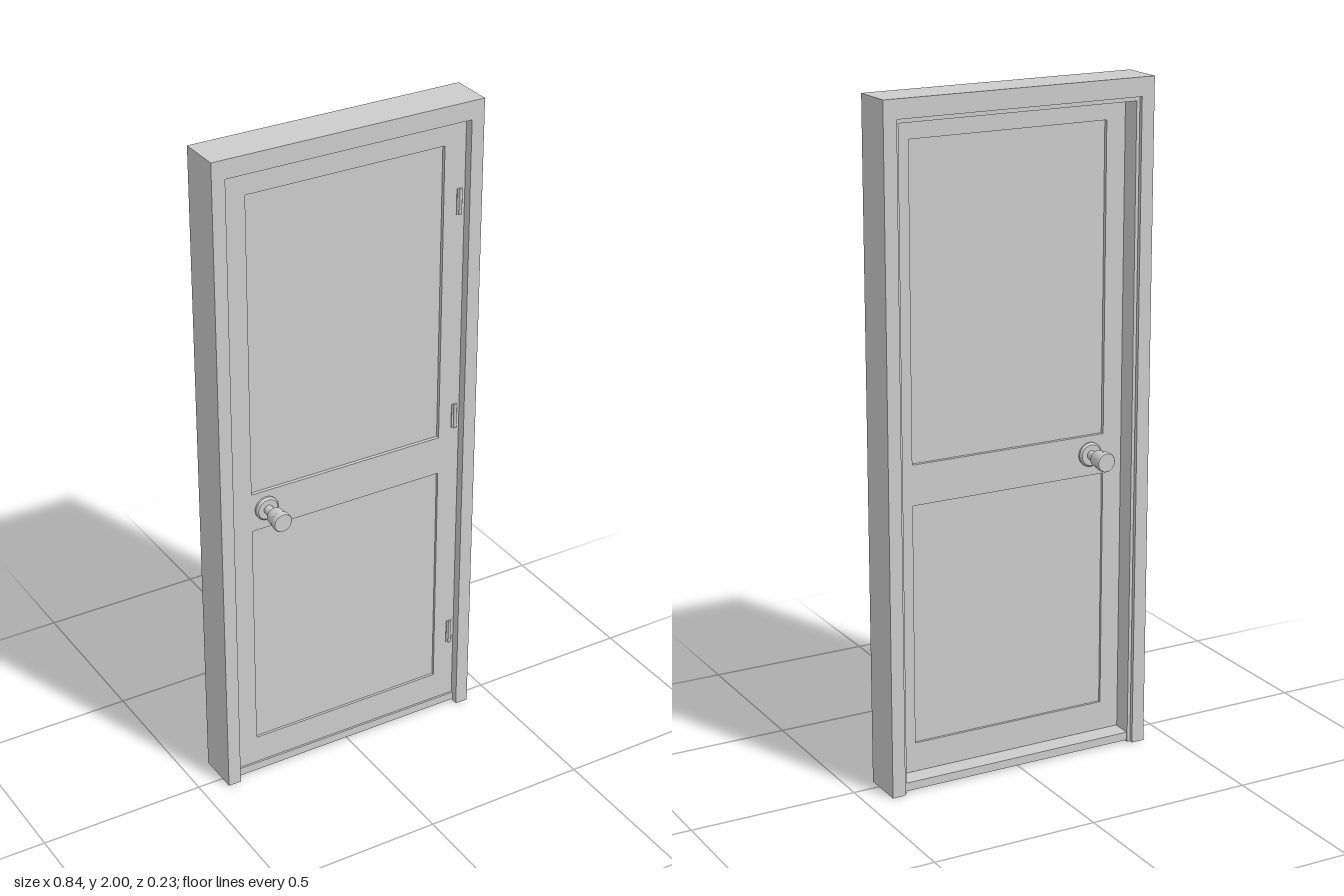
import * as THREE from 'three';

const material = new THREE.MeshStandardMaterial({ color: 0xcccccc });
const DOOR_FRONT = 0.016, DOOR_BACK = -0.018;

function addMesh(parent, name, geometry) {
  const mesh = new THREE.Mesh(geometry, material);
  mesh.name = name;
  parent.add(mesh);
  return mesh;
}

// Box given by its minimum and maximum corners
function addBox(parent, name, [x0, y0, z0], [x1, y1, z1]) {
  const mesh = addMesh(parent, name, new THREE.BoxGeometry(x1 - x0, y1 - y0, z1 - z0));
  mesh.position.set((x0 + x1) / 2, (y0 + y1) / 2, (z0 + z1) / 2);
  return mesh;
}

function rectangle(PathType, halfWidth, y0, y1) {
  const path = new PathType();
  path.moveTo(-halfWidth, y0);
  path.lineTo(halfWidth, y0);
  path.lineTo(halfWidth, y1);
  path.lineTo(-halfWidth, y1);
  path.closePath();
  return path;
}

function extrudeBetween(shape, z0, z1) {
  return new THREE.ExtrudeGeometry(shape, { depth: z1 - z0, bevelEnabled: false }).translate(0, 0, z0);
}

// Upside-down U: two legs and a head
function arch(outerX, outerY, innerX, innerY) {
  const points = [[-outerX, 0], [-innerX, 0], [-innerX, innerY], [innerX, innerY],
    [innerX, 0], [outerX, 0], [outerX, outerY], [-outerX, outerY]];
  return new THREE.Shape(points.map(([x, y]) => new THREE.Vector2(x, y)));
}

function createKnob() {
  const knob = new THREE.Group();
  knob.name = 'knob';
  // Rosette, neck and flared grip, as radius and distance from the door
  const rosette = [[0, 0], [0.036, 0], [0.036, 0.006], [0.031, 0.012], [0, 0.012]];
  const grip = [[0.014, 0.01], [0.014, 0.038], [0.025, 0.048], [0.0275, 0.078],
    [0.029, 0.08], [0.029, 0.094], [0.027, 0.097], [0, 0.097]];
  for (const [name, profile] of [['rosette', rosette], ['grip', grip]]) {
    // Each profile segment is its own surface, so that rims stay crisp
    for (let i = 0; i < profile.length - 1; i++) {
      const segment = [profile[i], profile[i + 1]].map(([r, h]) => new THREE.Vector2(r, h));
      addMesh(knob, name, new THREE.LatheGeometry(segment, 32).rotateX(Math.PI / 2));
    }
  }
  return knob;
}

export function createModel() {
  const model = new THREE.Group();
  model.name = 'door';

  // Fixed surround: outer frame, inner stop behind the leaf, threshold
  const surround = new THREE.Group();
  surround.name = 'surround';
  model.add(surround);
  addMesh(surround, 'frame', extrudeBetween(arch(0.42, 2, 0.38, 1.945), -0.09, 0.04));
  addMesh(surround, 'doorStop', extrudeBetween(arch(0.385, 1.95, 0.37, 1.932), -0.078, DOOR_BACK));
  addBox(surround, 'threshold', [-0.38, 0.005, -0.075], [0.38, 0.03, 0.02]);

  // Door leaf with two openings, filled by recessed panels
  const leaf = new THREE.Group();
  leaf.name = 'leaf';
  model.add(leaf);
  const openings = [['upperPanel', 0.96, 1.875, 0.011], ['lowerPanel', 0.12, 0.84, 0.008]];
  const leafShape = rectangle(THREE.Shape, 0.378, 0.032, 1.943);
  for (const [name, y0, y1, recess] of openings) {
    leafShape.holes.push(rectangle(THREE.Path, 0.31, y0, y1));
    addBox(leaf, name, [-0.312, y0 - 0.002, DOOR_BACK + recess], [0.312, y1 + 0.002, DOOR_FRONT - recess]);
  }
  addMesh(leaf, 'leafFrame', extrudeBetween(leafShape, DOOR_BACK, DOOR_FRONT));

  // Knobs on both faces
  const frontKnob = createKnob();
  frontKnob.position.set(-0.264, 0.905, DOOR_FRONT);
  const backKnob = createKnob();
  backKnob.position.set(-0.264, 0.905, DOOR_BACK);
  backKnob.rotation.y = Math.PI;
  leaf.add(frontKnob, backKnob);

  // Hinges: a thin plate and a pin on the left edge
  for (const y of [1.7, 1.02, 0.265]) {
    const hinge = new THREE.Group();
    hinge.name = 'hinge';
    hinge.position.set(0.36, y, DOOR_FRONT);
    addBox(hinge, 'hingePlate', [-0.008, -0.039, -0.004], [0.006, 0.039, 0.003]);
    addMesh(hinge, 'hingePin', new THREE.CylinderGeometry(0.005, 0.005, 0.078, 12)).position.set(0.003, 0, 0.003);
    model.add(hinge);
  }
  return model;
}
